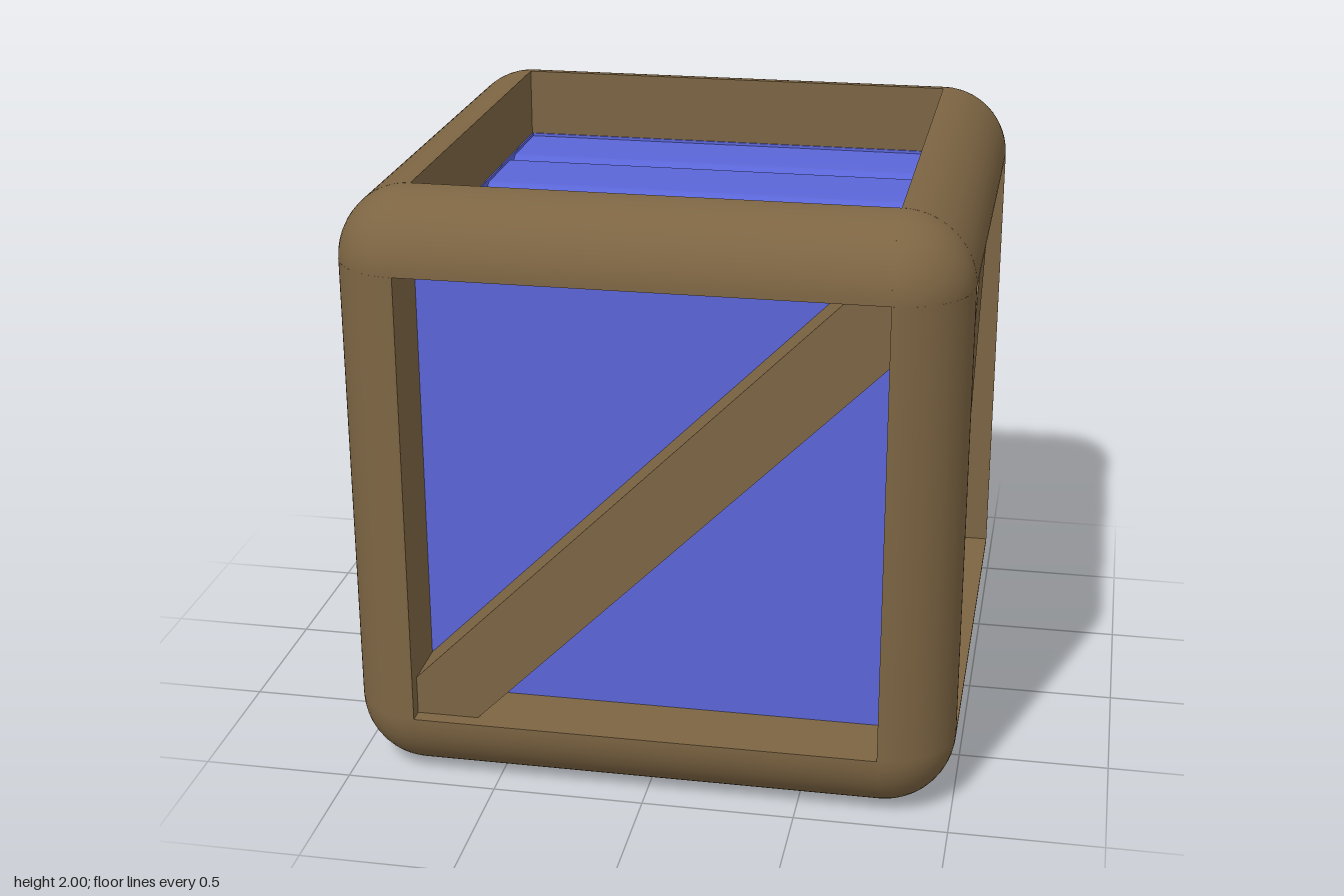
import * as THREE from 'three';
import { toCreasedNormals } from 'three/addons/utils/BufferGeometryUtils.js';

const I = 0.765;      // half size of the inner box and of the openings
const R = 1 - I;      // radius of the rounded frame
const HALF = Math.PI / 2;

const wood = new THREE.MeshStandardMaterial({ color: 0x7d6543 });
const blue = new THREE.MeshStandardMaterial({ color: 0x5b66d8 });

function add(parent, name, geometry, material) {
  const mesh = new THREE.Mesh(geometry, material);
  mesh.name = name;
  parent.add(mesh);
  return mesh;
}

function extrude(shape, depth) {
  const g = new THREE.ExtrudeGeometry(shape, { depth, bevelEnabled: false, curveSegments: 12 });
  return toCreasedNormals(g, 0.6);
}

// Quarter-round bars along the twelve edges
function buildFrame() {
  const frame = new THREE.Group();
  frame.name = 'frame';
  const profile = new THREE.Shape();
  profile.moveTo(0, 0);
  profile.lineTo(R, 0);
  profile.absarc(0, 0, R, 0, HALF, false);
  profile.closePath();
  const bar = extrude(profile, 2 * I).translate(I, I, -I);
  const turns = { depthBar: [0, 0], widthBar: [0, HALF], post: [HALF, 0] };
  for (const [name, [rx, ry]] of Object.entries(turns)) {
    const set = new THREE.Group();
    set.name = name + 's';
    set.rotation.set(rx, ry, 0);
    for (let k = 0; k < 4; k++) add(set, name, bar, wood).rotation.z = k * HALF;
    frame.add(set);
  }

  // Rounded corners, each an eighth of a sphere
  const top = new THREE.SphereGeometry(R, 12, 12, HALF, HALF, 0, HALF).translate(I, I, I);
  const bottom = top.clone().rotateZ(Math.PI);
  for (let k = 0; k < 4; k++) {
    add(frame, 'topCorner', top, wood).rotation.y = k * HALF;
    add(frame, 'bottomCorner', bottom, wood).rotation.y = k * HALF;
  }

  // Solid base closing the underside
  add(frame, 'base', new THREE.BoxGeometry(2 * I, R, 2 * I).translate(0, -1 + R / 2, 0), wood);
  return frame;
}

// Plank lid with rounded grooves between the planks
function buildPlanks() {
  const top = I - 0.01, w = 0.05, d = 0.06;
  const s = new THREE.Shape();
  s.moveTo(-I, 0.5);
  s.lineTo(-I, top);
  for (const u of [-0.37, 0.085, 0.455]) {
    s.lineTo(u - w, top);
    s.quadraticCurveTo(u, top, u, top - d);
    s.quadraticCurveTo(u, top, u + w, top);
  }
  s.lineTo(I, top);
  s.lineTo(I, 0.5);
  s.closePath();
  return extrude(s, 2 * I - 0.01).translate(0, 0, -I + 0.005).rotateY(HALF);
}

// Diagonal board, cut to fit the corners of an opening
function buildBrace() {
  const points = [[-I, -I], [-0.56, -I], [I, 0.555], [I, I], [0.635, I], [-I, -0.635]];
  const s = new THREE.Shape(points.map(([x, y]) => new THREE.Vector2(x, y)));
  return extrude(s, 0.95 - I).translate(0, 0, I);
}

export function createModel() {
  const model = new THREE.Group();
  model.name = 'crate';
  const crate = new THREE.Group();
  crate.name = 'crateBody';
  crate.position.y = 1;
  model.add(crate);

  crate.add(buildFrame());
  add(crate, 'lidPlanks', buildPlanks(), blue);

  // Four recessed side panels, each with a diagonal brace
  const panel = new THREE.BoxGeometry(2 * I, 2 * I, 0.005).translate(0, 0, I - 0.0025);
  const brace = buildBrace();
  for (let k = 0; k < 4; k++) {
    const side = new THREE.Group();
    side.name = 'side';
    side.rotation.y = k * HALF;
    add(side, 'panel', panel, blue);
    add(side, 'brace', brace, wood);
    crate.add(side);
  }
  return model;
}
